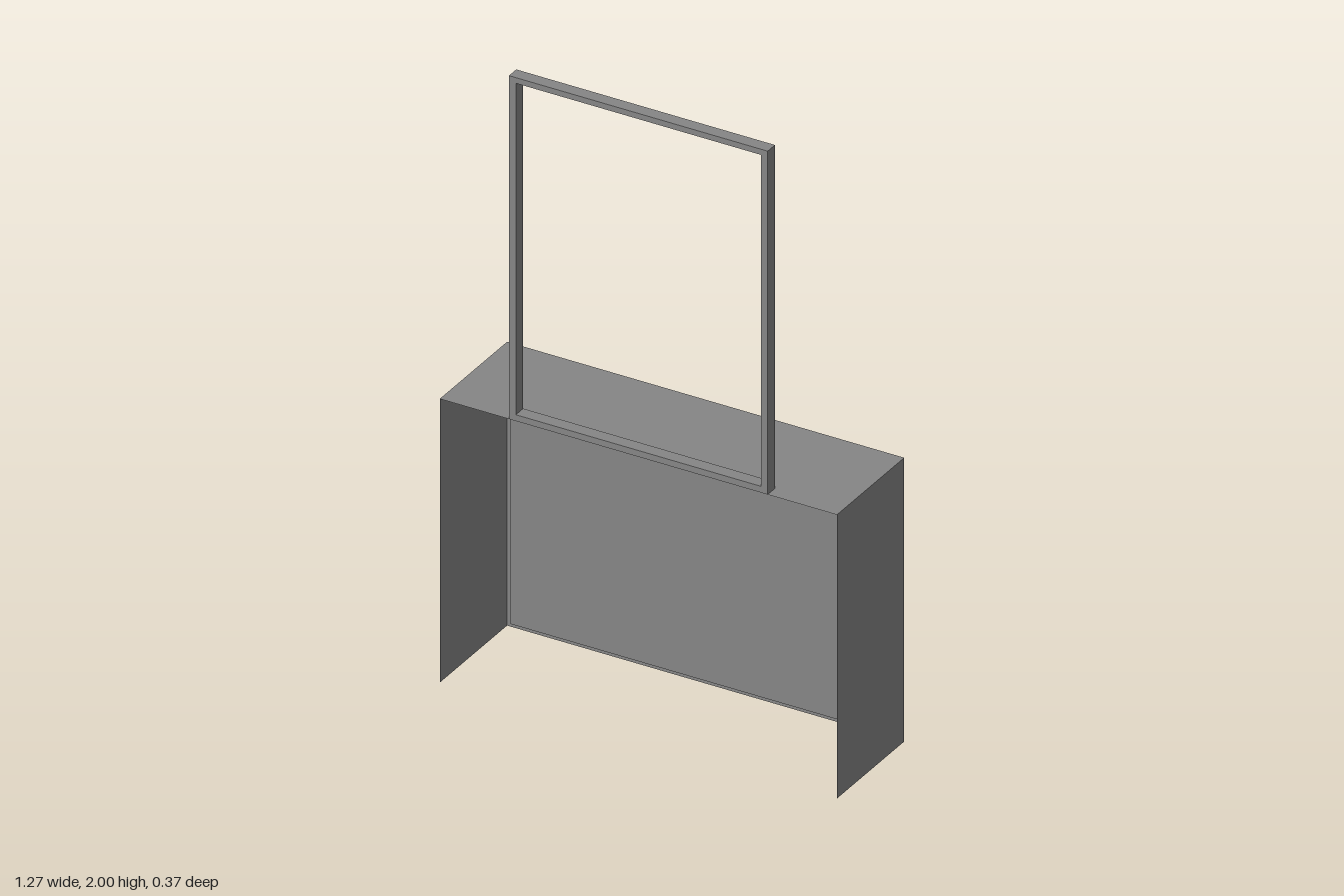
import * as THREE from 'three';

const W = 0.637, H = 0.905, D = 0.184;           // half width, height, half depth of the cabinet
const IN_W = 0.612, IN_Y0 = 0.025, IN_Y1 = 0.88; // opening for the drawers
const RECESS = 0.025;                            // depth of the drawer recess

export function createModel() {
  const model = new THREE.Group();
  model.name = 'mirrorDresser';
  const solid = new THREE.MeshStandardMaterial({ color: 0x868686, flatShading: true });
  const sheet = new THREE.MeshStandardMaterial({ color: 0x868686, flatShading: true, side: THREE.DoubleSide });

  const add = (name, geometry, material, x = 0, y = 0, z = 0) => {
    const mesh = new THREE.Mesh(geometry, material);
    mesh.name = name;
    mesh.position.set(x, y, z);
    model.add(mesh);
  };

  // Rectangle with a rectangular hole: outer half width and height range, then inner
  const frame = (ow, oy0, oy1, iw, iy0, iy1) => {
    const rect = (P, w, y0, y1) =>
      new P([[-w, y0], [w, y0], [w, y1], [-w, y1]].map(([x, y]) => new THREE.Vector2(x, y)));
    const shape = rect(THREE.Shape, ow, oy0, oy1);
    shape.holes.push(rect(THREE.Path, iw, iy0, iy1));
    return shape;
  };

  // Upright and level sheets running front to back
  const upright = (depth, h) => new THREE.PlaneGeometry(depth, h).rotateY(Math.PI / 2);
  const level = (w, depth) => new THREE.PlaneGeometry(w, depth).rotateX(-Math.PI / 2);

  // Cabinet of thin sheets, open behind and below
  const surround = new THREE.ShapeGeometry(frame(W, 0, H, IN_W, IN_Y0, IN_Y1)).rotateY(Math.PI);
  add('drawerSurround', surround, sheet, 0, 0, -D);
  add('cabinetTop', level(2 * W, 2 * D), sheet, 0, H, 0);
  const drawerZ = -D + RECESS, recessZ = -D + RECESS / 2;
  for (const s of [-1, 1]) {
    const side = s > 0 ? 'left' : 'right';
    add(side + 'Side', upright(2 * D, H), sheet, s * W, H / 2, 0);
    add(side + 'RecessWall', upright(RECESS, IN_Y1 - IN_Y0), sheet, s * IN_W, (IN_Y0 + IN_Y1) / 2, recessZ);
  }
  add('recessFloor', level(2 * IN_W, RECESS), sheet, 0, IN_Y0, recessZ);
  add('recessCeiling', level(2 * IN_W, RECESS), sheet, 0, IN_Y1, recessZ);

  // Sloping finger pull: wide edge on the drawer, narrow edge lower and further out
  const pull = new THREE.PlaneGeometry(1, 1);
  const pos = pull.attributes.position;
  for (let i = 0; i < pos.count; i++) {
    const top = pos.getY(i) > 0;
    pos.setXYZ(i, Math.sign(pos.getX(i)) * (top ? 0.087 : 0.065), top ? 0 : -0.017, top ? 0 : -0.023);
  }
  pull.computeVertexNormals();

  // Two columns of four drawers, each with a pull
  const rows = [IN_Y0, 0.245, 0.462, 0.672, IN_Y1];
  for (let r = 0; r < 4; r++) {
    const h = rows[r + 1] - rows[r];
    for (const s of [-1, 1]) {
      const front = new THREE.PlaneGeometry(IN_W, h).rotateY(Math.PI);
      add('drawerFront', front, sheet, s * IN_W / 2, rows[r] + h / 2, drawerZ);
      add('drawerPull', pull, sheet, s * IN_W / 2 - 0.008, rows[r + 1] - 0.03, drawerZ - 0.001);
    }
  }

  // Open mirror frame standing on the rear edge of the top
  const mirror = new THREE.ExtrudeGeometry(frame(0.415, H, 2, 0.393, 0.925, 1.982),
    { depth: 0.04, bevelEnabled: false });
  add('mirrorFrame', mirror, solid, 0, 0, D - 0.04);

  return model;
}
